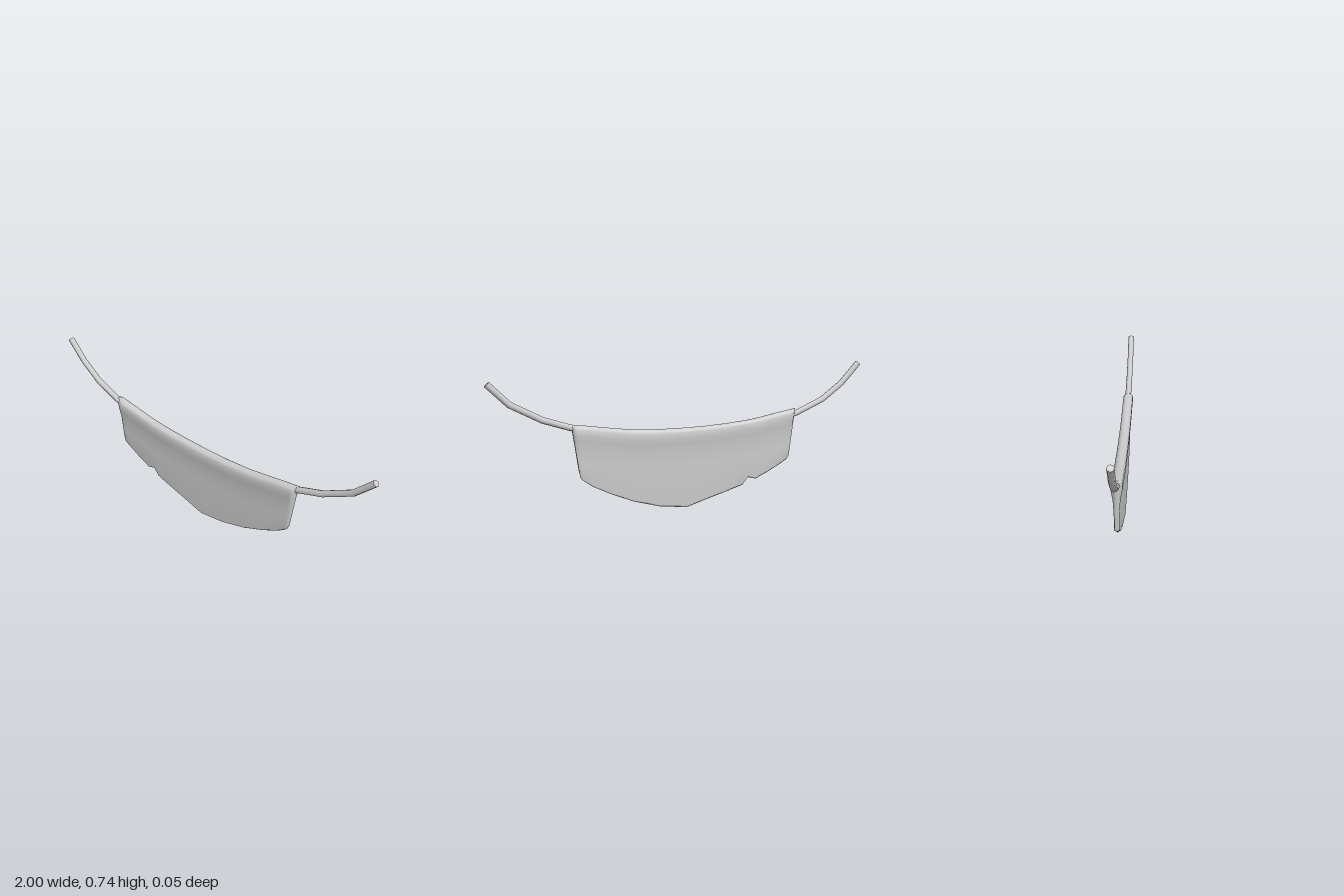
import * as THREE from 'three';

const grey = new THREE.MeshStandardMaterial({ color: 0xcccccc });
grey.name = 'grey cloth';

// Linear lookup in a list of [key, value] pairs
function lookup(pairs, k) {
  if (k <= pairs[0][0]) return pairs[0][1];
  for (let i = 1; i < pairs.length; i++) {
    const [a, va] = pairs[i - 1], [b, vb] = pairs[i];
    if (k <= b) return va + (vb - va) * (k - a) / (b - a);
  }
  return pairs[pairs.length - 1][1];
}

// Lower outline of the cloth, with the small torn notch
const LOWER = [
  [-0.587, 0.24], [-0.575, 0.222], [-0.55, 0.207], [-0.48, 0.168], [-0.4, 0.13], [-0.355, 0.142],
  [-0.325, 0.102], [-0.22, 0.07], [-0.11, 0.038], [-0.01, 0.007], [0.14, 0.027],
  [0.28, 0.068], [0.4, 0.12], [0.49, 0.167], [0.535, 0.2], [0.55, 0.215], [0.557, 0.245],
];
// Sagging upper edge
const UPPER = new THREE.SplineCurve([
  [-0.617, 0.505], [-0.5, 0.485], [-0.37, 0.462], [-0.2, 0.447], [0, 0.441],
  [0.2, 0.445], [0.35, 0.46], [0.48, 0.482], [0.59, 0.497],
].map(([x, y]) => new THREE.Vector2(x, y))).getPoints(64).map((p) => [p.x, p.y]);
// Half thickness by distance below the upper edge: a fat hem thinning to flat cloth
const HEM = [[0, 0], [0.003, 0.012], [0.009, 0.02], [0.02, 0.027], [0.05, 0.027],
  [0.08, 0.022], [0.11, 0.0175], [0.16, 0.0145], [0.2, 0.013]];

function clothGeometry() {
  const pos = [], index = [];
  const last = LOWER.length - 1;
  const x0 = LOWER[0][0], span = LOWER[last][0] - x0;
  LOWER.forEach(([bx, by], i) => {
    const tx = -0.617 + 1.207 * (bx - x0) / span;
    const ty = lookup(UPPER, tx);
    const height = ty - by;
    const end = i === 0 || i === last;
    // Distances below the upper edge, down to the bevelled lower edge
    const drops = HEM.map(([d]) => d).filter((d) => d < height - 0.03);
    while (drops.length < HEM.length) drops.push(height - 0.012 - 0.004 * (HEM.length - drops.length));
    drops.push(height - 0.011, height);
    const side = drops.map((d, k) => {
      const s = d / height;
      let z = k === drops.length - 1 ? 0 : lookup(HEM, d);
      if (end) z = Math.min(z, 0.009);
      return [tx + (bx - tx) * s, ty - d, z];
    });
    // Closed loop: down the front, up the back
    for (const p of side) pos.push(...p);
    for (let k = side.length - 2; k > 0; k--) pos.push(side[k][0], side[k][1], -side[k][2]);
  });
  const ring = 2 * (HEM.length + 2) - 2;
  for (let i = 0; i < last; i++) {
    for (let k = 0; k < ring; k++) {
      const a = i * ring + k, b = i * ring + (k + 1) % ring;
      index.push(a, b, a + ring, b, b + ring, a + ring);
    }
  }
  // Close both ends
  const e = last * ring;
  for (let k = 1; k < ring - 1; k++) {
    index.push(0, k + 1, k, e, e + k, e + k + 1);
  }
  const g = new THREE.BufferGeometry();
  g.setAttribute('position', new THREE.Float32BufferAttribute(pos, 3));
  g.setIndex(index);
  g.computeVertexNormals();
  return g;
}

// Eight-sided cord with a straight run between each pair of points
function makeStrap(name, points) {
  const group = new THREE.Group();
  group.name = name;
  const curve = new THREE.CatmullRomCurve3(
    points.map(([x, y]) => new THREE.Vector3(x, y, 0)), false, 'catmullrom', 0.5);
  curve.getPointAt = curve.getPoint;
  curve.getTangentAt = curve.getTangent;
  const cord = new THREE.Mesh(new THREE.TubeGeometry(curve, points.length - 1, 0.0165, 8), grey);
  cord.name = name + 'Cord';
  const cap = new THREE.Mesh(new THREE.CircleGeometry(0.0165, 8), grey);
  cap.name = name + 'End';
  cap.position.copy(curve.getPoint(1));
  cap.quaternion.setFromUnitVectors(new THREE.Vector3(0, 0, 1), curve.getTangent(1));
  group.add(cord, cap);
  return group;
}

export function createModel() {
  const model = new THREE.Group();
  model.name = 'faceCloth';
  const cloth = new THREE.Mesh(clothGeometry(), grey);
  cloth.name = 'clothPanel';
  model.add(
    cloth,
    makeStrap('rightStrap', [[-0.58, 0.468], [-0.63, 0.48], [-0.78, 0.545], [-0.89, 0.628], [-0.986, 0.734]]),
    makeStrap('leftStrap', [[0.55, 0.47], [0.6, 0.484], [0.73, 0.529], [0.885, 0.615], [0.986, 0.72]]),
  );
  return model;
}
